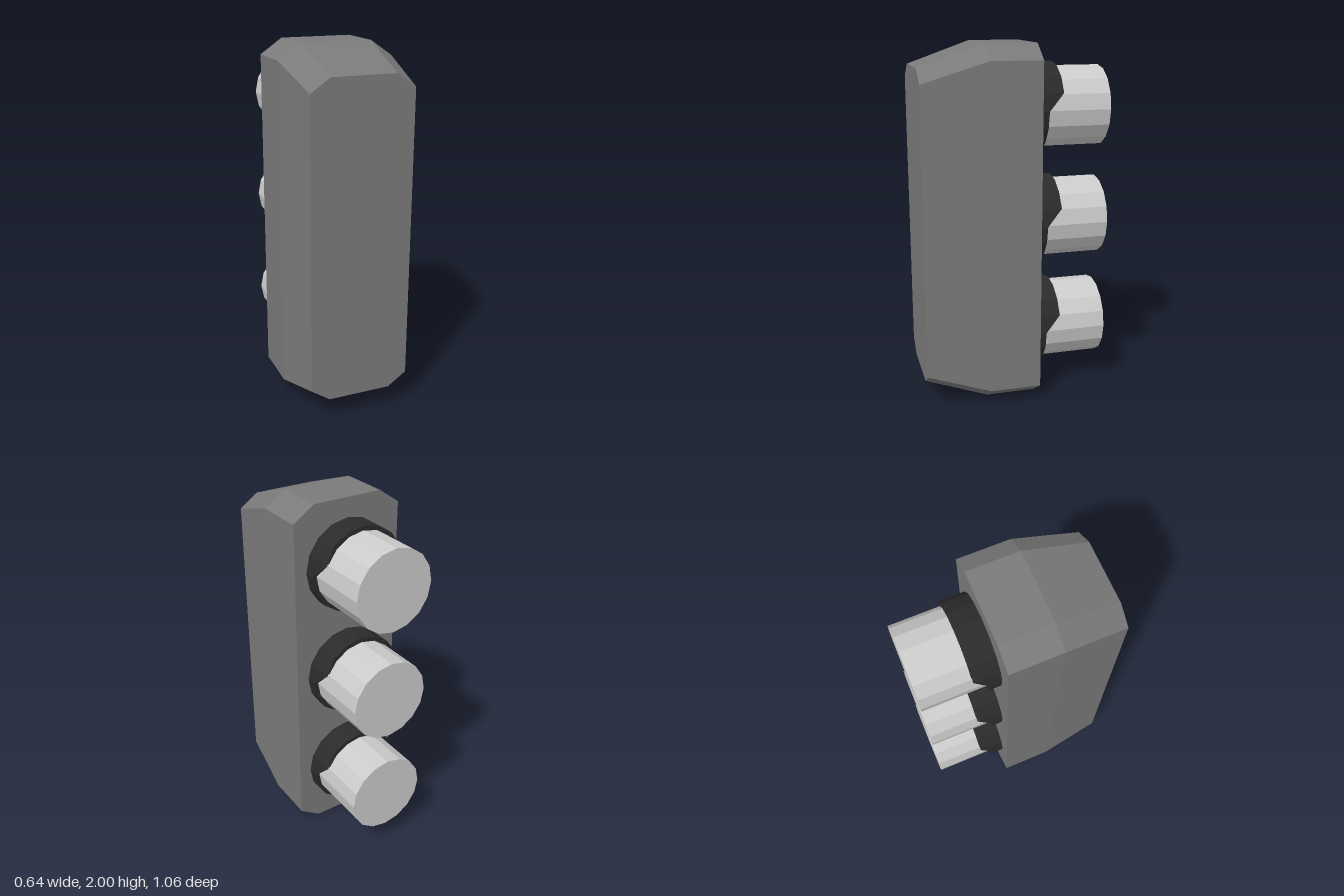
import * as THREE from 'three';

const SIDES = 16;
const BACK = -0.113; // z of the housing's lamp face

const material = (color) => new THREE.MeshStandardMaterial({ color, flatShading: true });

function ring(radius) {
  return Array.from({ length: SIDES }, (_, i) => {
    const a = (i / SIDES) * Math.PI * 2;
    return new THREE.Vector2(radius * Math.cos(a), radius * Math.sin(a));
  });
}

// Octagonal block whose far end tapers in
function housingGeometry() {
  const w = 0.32, c = 0.2, h = 1, k = 0.917;
  const outline = [[c, -h], [w, -k], [w, k], [c, h], [-c, h], [-w, k], [-w, -k], [-c, -h]];
  const shape = new THREE.Shape(outline.map(([x, y]) => new THREE.Vector2(x, y)));
  const geo = new THREE.ExtrudeGeometry(shape, { depth: 2, steps: 2, bevelEnabled: false });
  const p = geo.attributes.position;
  const levels = [BACK, 0.172, 0.527];
  for (let i = 0; i < p.count; i++) {
    const level = Math.round(p.getZ(i));
    const sx = level === 2 ? 0.885 : 1, sy = level === 2 ? 0.877 : 1;
    p.setXYZ(i, p.getX(i) * sx, p.getY(i) * sy + 1, levels[level]);
  }
  geo.computeVertexNormals();
  return geo;
}

// Collar around a lamp, its upper part drawn out into a visor
function hoodGeometry() {
  const shape = new THREE.Shape(ring(0.251));
  shape.holes.push(new THREE.Path(ring(0.224)));
  const geo = new THREE.ExtrudeGeometry(shape, { depth: 0.057, bevelEnabled: false });
  const p = geo.attributes.position;
  for (let i = 0; i < p.count; i++) {
    if (p.getZ(i) > 0.01 && p.getY(i) > 0.05) p.setZ(i, 0.141);
  }
  geo.computeVertexNormals();
  return geo.rotateY(Math.PI).translate(0, 0, BACK);
}

export function createModel() {
  const model = new THREE.Group();
  const add = (parent, name, geo, mat) => {
    const mesh = new THREE.Mesh(geo, mat);
    mesh.name = name;
    parent.add(mesh);
  };

  add(model, 'housing', housingGeometry(), material(0x7a7a7a));

  // Three lamps with hoods on the back face
  const hood = hoodGeometry();
  const length = 0.415;
  const lamp = new THREE.CylinderGeometry(0.226, 0.226, length, SIDES)
    .rotateX(Math.PI / 2).translate(0, 0, BACK - length / 2);
  const hoodMat = material(0x2b2b2b), lampMat = material(0xcccccc);
  [['top', 1.642], ['middle', 1.004], ['bottom', 0.37]].forEach(([place, y]) => {
    const unit = new THREE.Group();
    unit.name = place + 'Light';
    unit.position.y = y;
    add(unit, place + 'Hood', hood, hoodMat);
    add(unit, place + 'Lamp', lamp, lampMat);
    model.add(unit);
  });
  return model;
}
